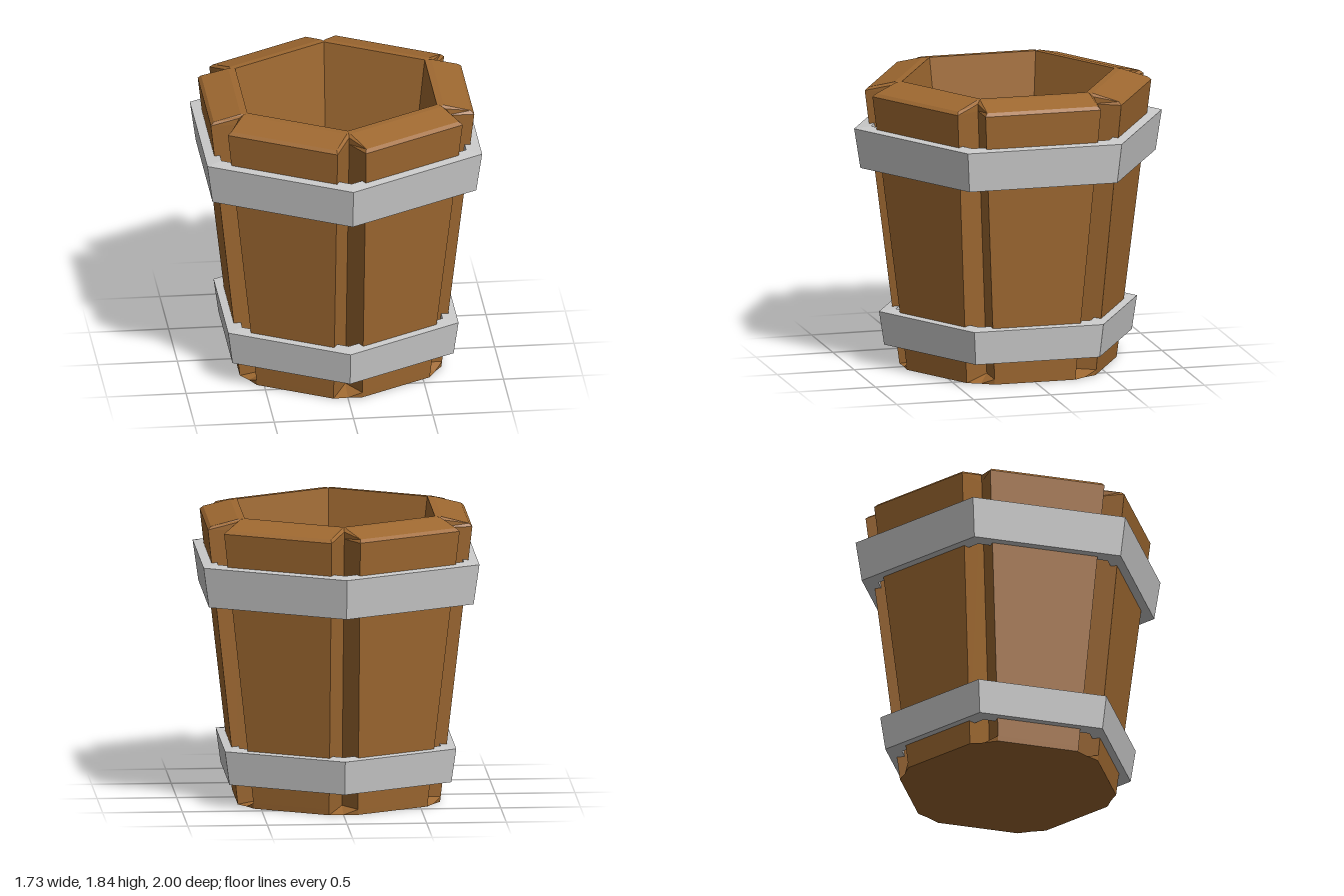
import * as THREE from 'three';

const COS30 = Math.cos(Math.PI / 6), TAN30 = Math.tan(Math.PI / 6);

// Skins a list of closed rings (counterclockwise from above) with flat faces
function loft(name, rings, material) {
  const pos = [];
  const tri = (...pts) => pts.forEach((p) => pos.push(p.x, p.y, p.z));
  for (let i = 0; i + 1 < rings.length; i++) {
    const lo = rings[i], hi = rings[i + 1], n = lo.length;
    for (let j = 0; j < n; j++) {
      const k = (j + 1) % n;
      tri(lo[j], lo[k], hi[k]);
      tri(lo[j], hi[k], hi[j]);
    }
  }
  const g = new THREE.BufferGeometry();
  g.setAttribute('position', new THREE.Float32BufferAttribute(pos, 3));
  g.computeVertexNormals();
  const mesh = new THREE.Mesh(g, material);
  mesh.name = name;
  return mesh;
}

// Six planks: face distance a, half width w, then the groove at radius v, height yv
function plankRing(y, a, w, v, yv = y) {
  const pts = [];
  for (let k = 0; k < 6; k++) {
    const t = Math.PI / 6 + k * Math.PI / 3, s = Math.sin(t), c = Math.cos(t);
    for (const u of [-w, w]) pts.push(new THREE.Vector3(a * s + u * c, y, a * c - u * s));
    const e = t + Math.PI / 6;
    pts.push(new THREE.Vector3(v * Math.sin(e), yv, v * Math.cos(e)));
  }
  return pts;
}

// Plain hexagon in the same layout, for the inside of the bucket
const innerRing = (y, a) => plankRing(y, a, a * TAN30 * 0.98, a / COS30);

function hexRing(y, a) {
  const r = a / COS30;
  return Array.from({ length: 6 }, (_, k) =>
    new THREE.Vector3(r * Math.sin(k * Math.PI / 3), y, r * Math.cos(k * Math.PI / 3)));
}

// Tapered hexagonal hoop with a closed rectangular section
function hoop(name, y0, y1, a0, a1, thick, material) {
  return loft(name, [
    hexRing(y0, a0 - thick), hexRing(y0, a0), hexRing(y1 - 0.01, a1),
    hexRing(y1, a1 - thick), hexRing(y0, a0 - thick),
  ], material);
}

export function createModel() {
  const group = new THREE.Group();
  group.name = 'bucket';
  const wood = new THREE.MeshStandardMaterial({ color: 0x9f6931, flatShading: true });
  const metal = new THREE.MeshStandardMaterial({ color: 0xcccccc, flatShading: true });

  // Wooden body: underside, grooved planks, sloping rim, inner walls, floor
  group.add(loft('woodenPlanks', [
    plankRing(0, 0, 0, 0),
    plankRing(0, 0.635, 0.262, 0.676),
    plankRing(0.035, 0.639, 0.264, 0.53),
    plankRing(1.77, 0.83, 0.375, 0.75),
    plankRing(1.79, 0.81, 0.36, 0.75, 1.815),
    plankRing(1.833, 0.64, 0.355, 0.72, 1.83),
    innerRing(1.835, 0.597),
    innerRing(0.1, 0.4),
    plankRing(0.1, 0, 0, 0),
  ], wood));

  // Metal hoops
  group.add(hoop('upperHoop', 1.295, 1.56, 0.831, 0.866, 0.095, metal));
  group.add(hoop('lowerHoop', 0.15, 0.375, 0.697, 0.726, 0.095, metal));
  return group;
}
